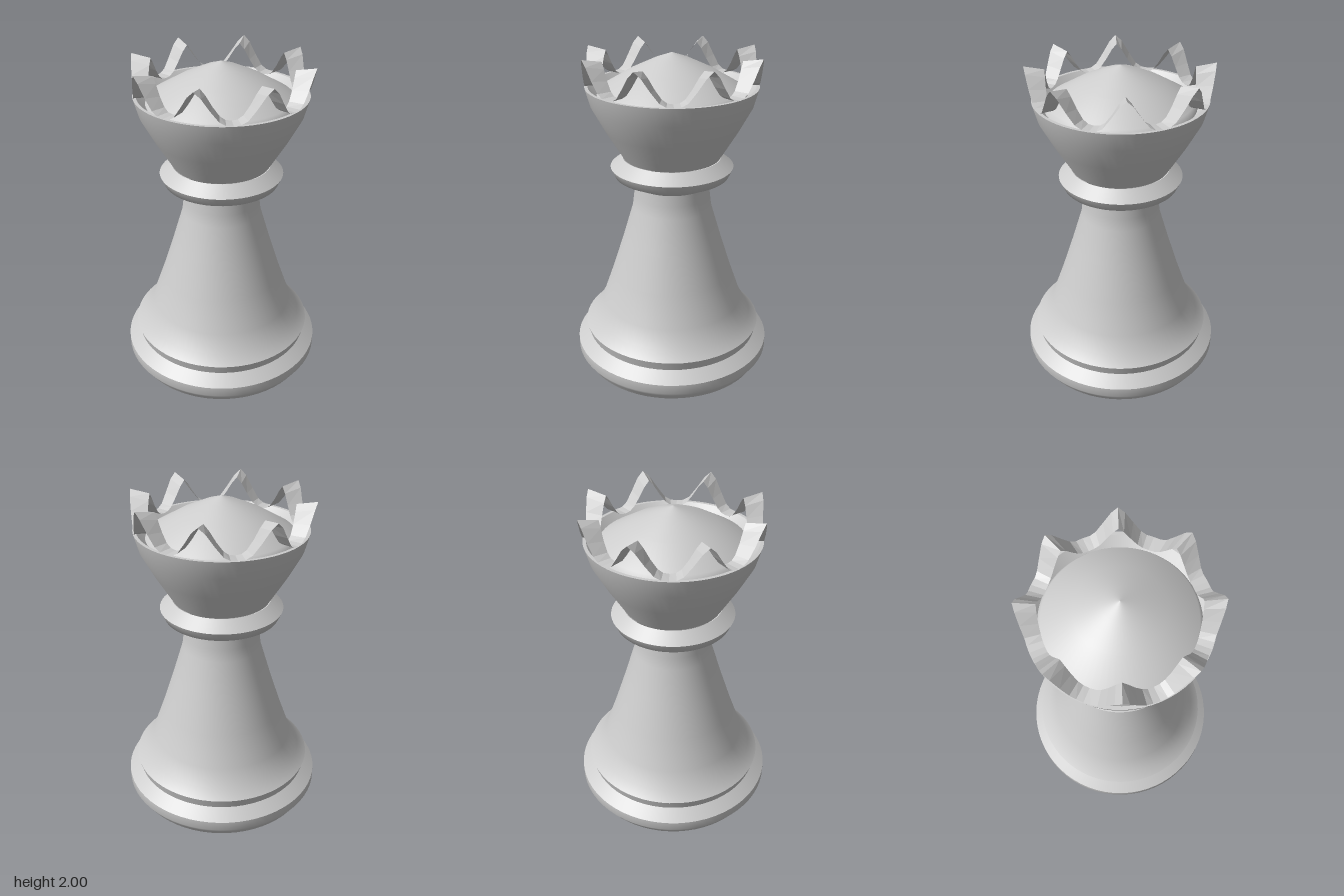
import * as THREE from 'three';

const material = new THREE.MeshStandardMaterial({ color: 0xcccccc, side: THREE.DoubleSide });

// Smooth turned section; separate sections keep the edges between them sharp
function turned(name, profile) {
  const points = profile.map(([r, y]) => new THREE.Vector2(r, y));
  const mesh = new THREE.Mesh(new THREE.LatheGeometry(points, 64), material);
  mesh.name = name;
  return mesh;
}

// Zigzag ribbon with eight points around the rim
function crownRibbon() {
  // angle from a peak in degrees, outer radius, outer height, inner height
  const half = [
    [0, 0.54, 2.0, 1.98],
    [4, 0.532, 1.965, 1.945],
    [9, 0.52, 1.895, 1.885],
    [14, 0.51, 1.835, 1.835],
    [18, 0.506, 1.815, 1.815],
    [22.5, 0.505, 1.81, 1.81],
  ];
  const mirrored = half.slice(1, -1).reverse().map(([a, r, yo, yi]) => [45 - a, r, yo, yi]);
  const period = [...half, ...mirrored];
  const innerRadius = 0.423;
  const positions = [];
  const index = [];
  for (let i = 0; i < 8; i++) {
    for (const [a, r, yo, yi] of period) {
      const t = THREE.MathUtils.degToRad(i * 45 + a);
      positions.push(r * Math.sin(t), yo, r * Math.cos(t));
      positions.push(innerRadius * Math.sin(t), yi, innerRadius * Math.cos(t));
    }
  }
  const count = positions.length / 6;
  for (let i = 0; i < count; i++) {
    const a = 2 * i, b = 2 * ((i + 1) % count);
    index.push(a, b, a + 1, b, b + 1, a + 1);
  }
  const indexed = new THREE.BufferGeometry();
  indexed.setAttribute('position', new THREE.Float32BufferAttribute(positions, 3));
  indexed.setIndex(index);
  const geometry = indexed.toNonIndexed();
  geometry.computeVertexNormals();
  const mesh = new THREE.Mesh(geometry, material);
  mesh.name = 'crownRibbon';
  return mesh;
}

export function createModel() {
  const group = new THREE.Group();
  group.name = 'chessQueen';
  group.add(
    // Hollow, open-bottomed foot
    turned('baseRim', [[0.58, 0], [0.605, 0.04], [0.625, 0.07], [0.625, 0.13]]),
    turned('baseSlope', [[0.625, 0.13], [0.55, 0.19]]),
    turned('baseStep', [[0.55, 0.19], [0.567, 0.25]]),
    // Flared stem
    turned('stem', [[0.567, 0.25], [0.51, 0.305], [0.45, 0.41], [0.38, 0.61],
      [0.31, 0.83], [0.245, 1.05], [0.235, 1.13], [0.23, 1.2]]),
    // Collar
    turned('collarUnderside', [[0.23, 1.2], [0.35, 1.26], [0.375, 1.315]]),
    turned('collarTop', [[0.375, 1.315], [0.3, 1.375]]),
    // Cup, its lip and the dome inside
    turned('cup', [[0.295, 1.375], [0.4, 1.55], [0.48, 1.7], [0.51, 1.81]]),
    turned('cupLip', [[0.51, 1.81], [0.49, 1.81]]),
    turned('cupInside', [[0.49, 1.81], [0.44, 1.76]]),
    turned('dome', [[0.44, 1.76], [0.42, 1.795], [0.25, 1.895], [0.1, 1.965], [0, 2]]),
    crownRibbon(),
  );
  return group;
}
